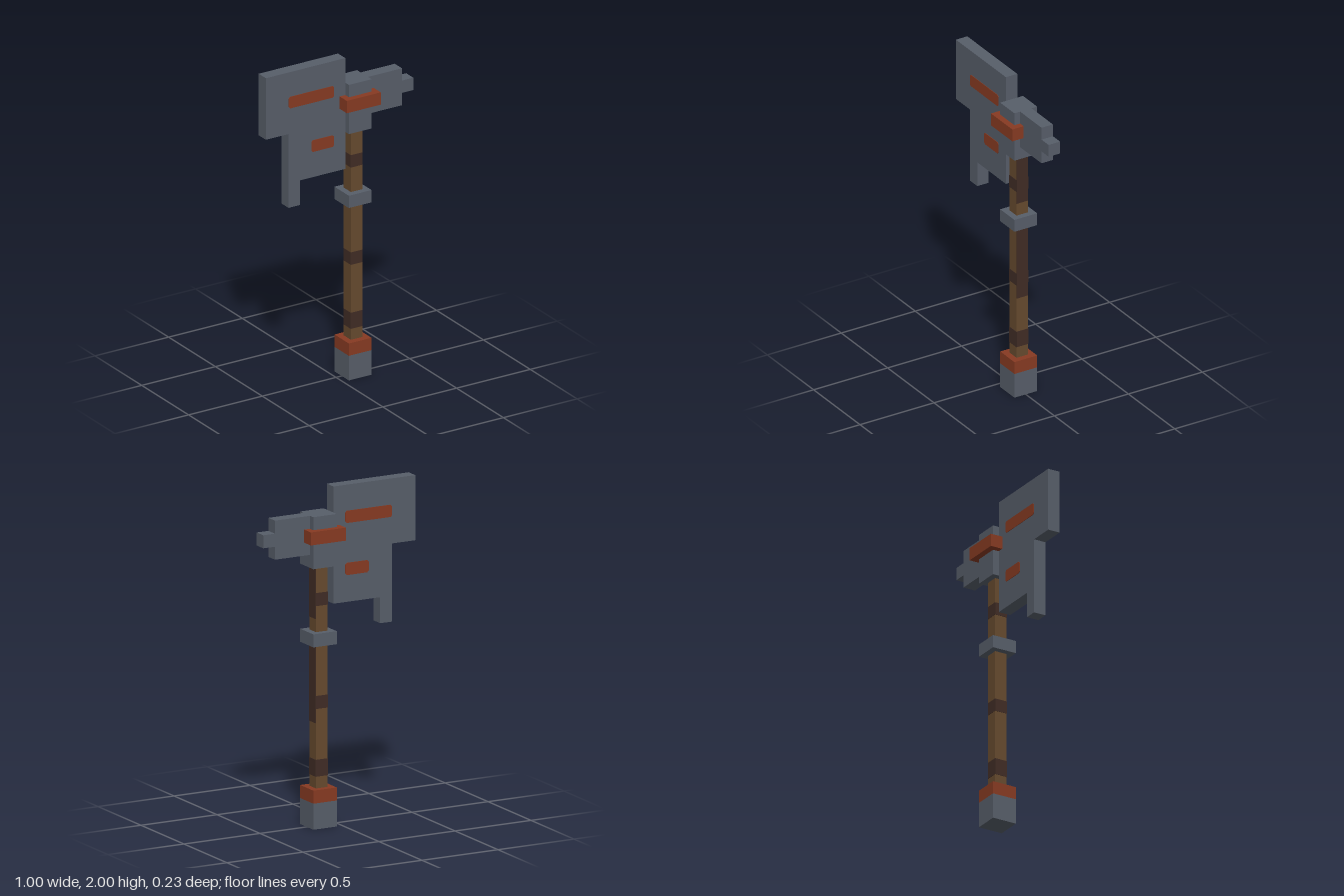
import * as THREE from 'three';

const U = 1 / 13; // modelling unit

const mat = (name, color) => {
  const m = new THREE.MeshStandardMaterial({ color });
  m.name = name;
  return m;
};

export function createModel() {
  const steel = mat('steel', 0x575e69);
  const rust = mat('rust', 0x873a22);
  const wood = mat('wood', 0x664a2e);
  const darkWood = mat('dark wood', 0x402c25);

  const model = new THREE.Group();
  model.name = 'axe';

  const add = (name, geometry, material, parent = model) => {
    const mesh = new THREE.Mesh(geometry, material);
    mesh.name = name;
    parent.add(mesh);
    return mesh;
  };

  // Box between x0..x1 and y0..y1 (in units), centred on z with depth d
  const box = (name, material, x0, x1, y0, y1, d) => {
    const g = new THREE.BoxGeometry((x1 - x0) * U, (y1 - y0) * U, d * U);
    g.translate(((x0 + x1) / 2) * U, ((y0 + y1) / 2) * U, 0);
    return add(name, g, material);
  };

  // Shaft, pommel and collar
  box('shaft', wood, 1, 2, 3, 20, 1);
  box('pommel', steel, 0.5, 2.5, 0, 2, 2);
  box('pommelBand', rust, 0.5, 2.5, 2, 3, 2);
  box('collar', steel, 0.5, 2.5, 14, 15, 2);

  // Head: socket, back hammer, spike and binding
  box('socket', steel, 0.5, 2.5, 20, 24, 2);
  box('hammer', steel, 2.5, 5.5, 21, 24, 1);
  box('spike', steel, 5.5, 6.5, 22, 23, 1);
  box('binding', rust, 0, 3, 22, 23, 3);

  // Stepped blade outline
  const outline = [[0.5, 26], [-6.5, 26], [-6.5, 21], [-4.5, 21], [-4.5, 15],
    [-3.5, 15], [-3.5, 17], [0.5, 17]];
  const bladeShape = new THREE.Shape(outline.map(([x, y]) => new THREE.Vector2(x * U, y * U)));
  const blade = new THREE.ExtrudeGeometry(bladeShape, { depth: U, bevelEnabled: false });
  blade.translate(0, 0, -U / 2);
  add('blade', blade, steel);

  // Rust patches with clipped corners on both blade faces
  const patch = (x0, x1, y0, y1, c = 0.13) => {
    const pts = [[x0 + c, y0], [x1 - c, y0], [x1, y0 + c], [x1, y1 - c],
      [x1 - c, y1], [x0 + c, y1], [x0, y1 - c], [x0, y0 + c]];
    const shape = new THREE.Shape(pts.map(([x, y]) => new THREE.Vector2(x * U, y * U)));
    for (const z of [U / 2, -U / 2 - 0.003]) {
      const g = new THREE.ExtrudeGeometry(shape, { depth: 0.003, bevelEnabled: false });
      g.translate(0, 0, z);
      add('rustPatch', g, rust);
    }
  };
  patch(-4.5, -0.5, 23.06, 24);
  patch(-2.5, -0.5, 19.06, 20);

  // Dark bands on the shaft faces: front, left, back, right
  const rings = [[3.9, 5.2], [9.1, 10.1], [17, 18]];
  const longMarks = [[3.9, 5.2], [8, 14], [16, 20]];
  [rings, longMarks, rings, rings].forEach((bands, side) => {
    const face = new THREE.Group();
    face.name = 'shaftMarks';
    face.position.x = 1.5 * U;
    face.rotation.y = (side * Math.PI) / 2;
    model.add(face);
    for (const [y0, y1] of bands) {
      const g = new THREE.BoxGeometry(U, (y1 - y0) * U, 0.002);
      g.translate(0, ((y0 + y1) / 2) * U, U / 2 + 0.001);
      add('darkBand', g, darkWood, face);
    }
  });

  return model;
}
